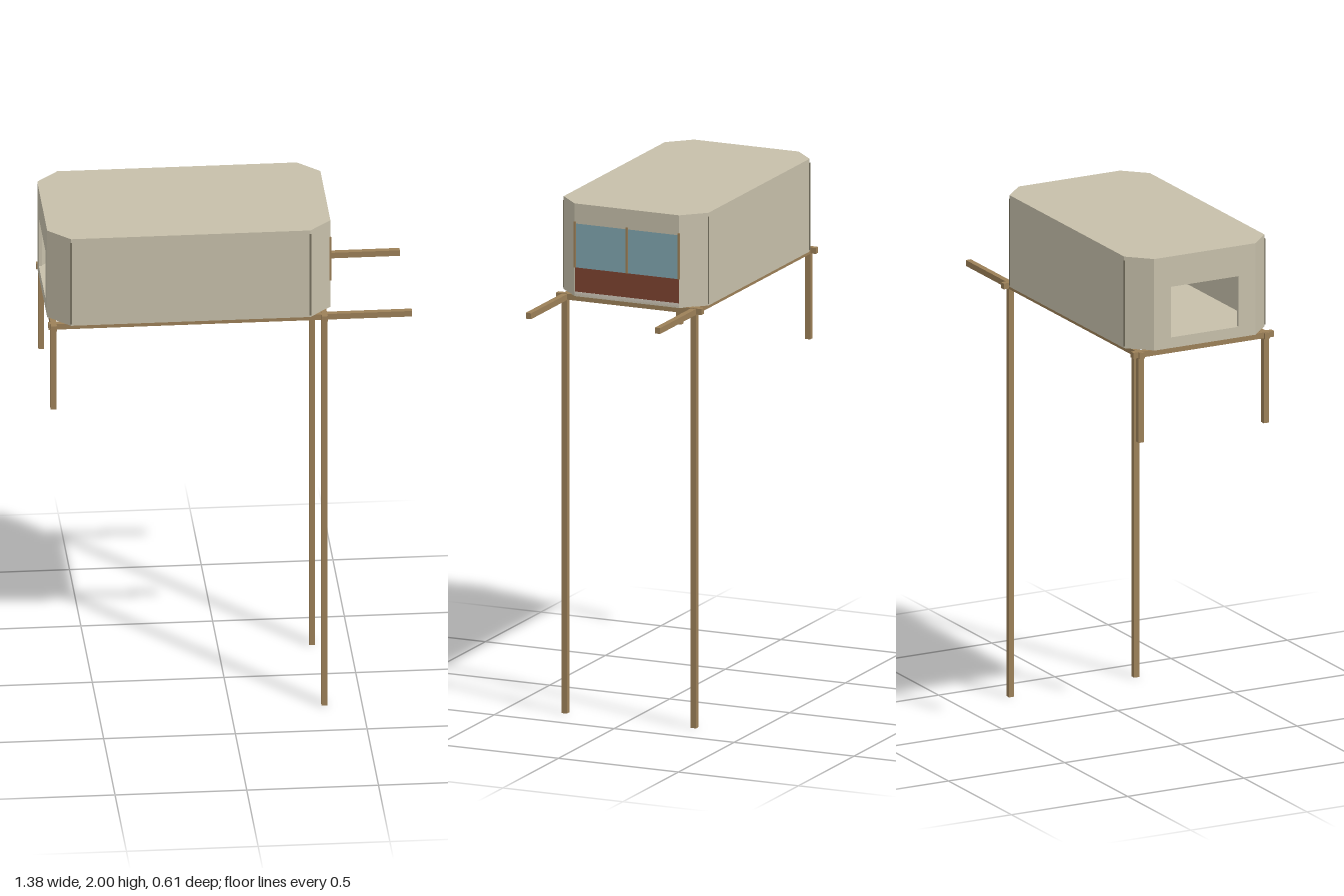
import * as THREE from 'three';

const mat = (name, color, side = THREE.FrontSide) => {
  const m = new THREE.MeshStandardMaterial({ color, side });
  m.name = name;
  return m;
};

export function createModel() {
  const model = new THREE.Group();
  model.name = 'stiltCabin';
  const shell = mat('shellBeige', 0xc6bfaa);
  const wood = mat('wood', 0x9c8058);
  const glass = mat('glassBlue', 0x80a6af);
  const rust = mat('rustPanel', 0x7d4330);
  const pale = mat('paleSill', 0xd2cabc);
  const seam = mat('seamGrey', 0x77715f);

  const add = (name, geo, material, parent = model) => {
    const m = new THREE.Mesh(geo, material);
    m.name = name;
    parent.add(m);
    return m;
  };
  // box given by its min and max corners
  const box = (name, x0, x1, y0, y1, z0, z1, material, parent) => {
    const m = add(name, new THREE.BoxGeometry(x1 - x0, y1 - y0, z1 - z0), material, parent);
    m.position.set((x0 + x1) / 2, (y0 + y1) / 2, (z0 + z1) / 2);
    return m;
  };

  const XB = -0.69, XF = 0.385, XB1 = -0.607, XF1 = 0.302, Z = 0.302, Z1 = 0.218;
  const FLOOR = 1.638, TOP = 2, T = 0.012;

  // octagonal floor and roof slabs
  const outline = [[XB, -Z1], [XB1, -Z], [XF1, -Z], [XF, -Z1], [XF, Z1], [XF1, Z], [XB1, Z], [XB, Z1]];
  const octagon = new THREE.Shape(outline.map(([x, z]) => new THREE.Vector2(x, z)));
  const slab = (name, y, h) => {
    const g = new THREE.ExtrudeGeometry(octagon, { depth: h, bevelEnabled: false });
    g.rotateX(-Math.PI / 2).translate(0, y, 0);
    add(name, g, shell);
  };
  slab('floor', FLOOR, 0.01);
  slab('roof', TOP - T, T);

  // wall panel between two plan points, its thickness on the inside
  const wall = (name, [xa, za], [xb, zb]) => {
    const dx = xb - xa, dz = zb - za, len = Math.hypot(dx, dz);
    const h = TOP - T - FLOOR;
    const m = add(name, new THREE.BoxGeometry(len, h, T), shell);
    m.position.set((xa + xb) / 2 - (dz / len) * T / 2, FLOOR + h / 2, (za + zb) / 2 + (dx / len) * T / 2);
    m.rotation.y = -Math.atan2(dz, dx);
  };
  const names = ['cornerPanel', 'sideWall', 'cornerPanel', null, 'cornerPanel', 'sideWall', 'cornerPanel'];
  names.forEach((n, i) => n && wall(n, outline[i], outline[i + 1]));

  // end wall with the open doorway
  const end = new THREE.Shape([[-Z1, FLOOR], [Z1, FLOOR], [Z1, TOP - T], [-Z1, TOP - T]].map(p => new THREE.Vector2(...p)));
  end.holes.push(new THREE.Path([[-0.145, 1.68], [-0.145, 1.88], [0.145, 1.88], [0.145, 1.68]].map(p => new THREE.Vector2(...p))));
  const endGeo = new THREE.ExtrudeGeometry(end, { depth: T, bevelEnabled: false });
  endGeo.rotateY(Math.PI / 2).translate(XB, 0, 0);
  add('doorwayWall', endGeo, shell);

  // window end: header, glazing, lower panel and sill
  box('windowHeader', XF - T, XF, 1.922, TOP - T, -Z1, Z1, shell);
  box('windowGlass', XF - 0.009, XF - 0.002, 1.75, 1.922, -Z1, Z1, glass);
  box('lowerPanel', XF - T, XF - 0.001, 1.656, 1.75, -Z1, Z1, rust);
  box('sill', XF - T, XF, FLOOR, 1.656, -Z1, Z1, pale);
  for (const z of [-Z1 + 0.001, 0, Z1 - 0.001])
    box('windowMullion', XF - 0.008, XF + 0.003, 1.75, 1.93, z - 0.004, z + 0.004, wood);

  for (const s of [-1, 1]) {
    // seams beside the corner panels
    for (const x of [XB1, XF1])
      box('panelSeam', x - 0.004, x + 0.004, 1.645, 1.985, s * Z - 0.001, s * Z + 0.001, seam);
    // long floor beams and posts
    const z = s * 0.269, w = 0.011;
    box('longBeam', -0.69, 0.69, 1.614, 1.637, z - w, z + w, wood);
    box('tallPost', 0.346, 0.368, 0, 1.625, z - w, z + w, wood);
    box('shortPost', -0.682, -0.66, 1.28, 1.625, z - w, z + w, wood);
  }
  // cross beams
  for (const x of [-0.671, 0.357])
    box('crossBeam', x - 0.011, x + 0.011, 1.616, 1.639, -0.303, 0.303, wood);

  return model;
}
